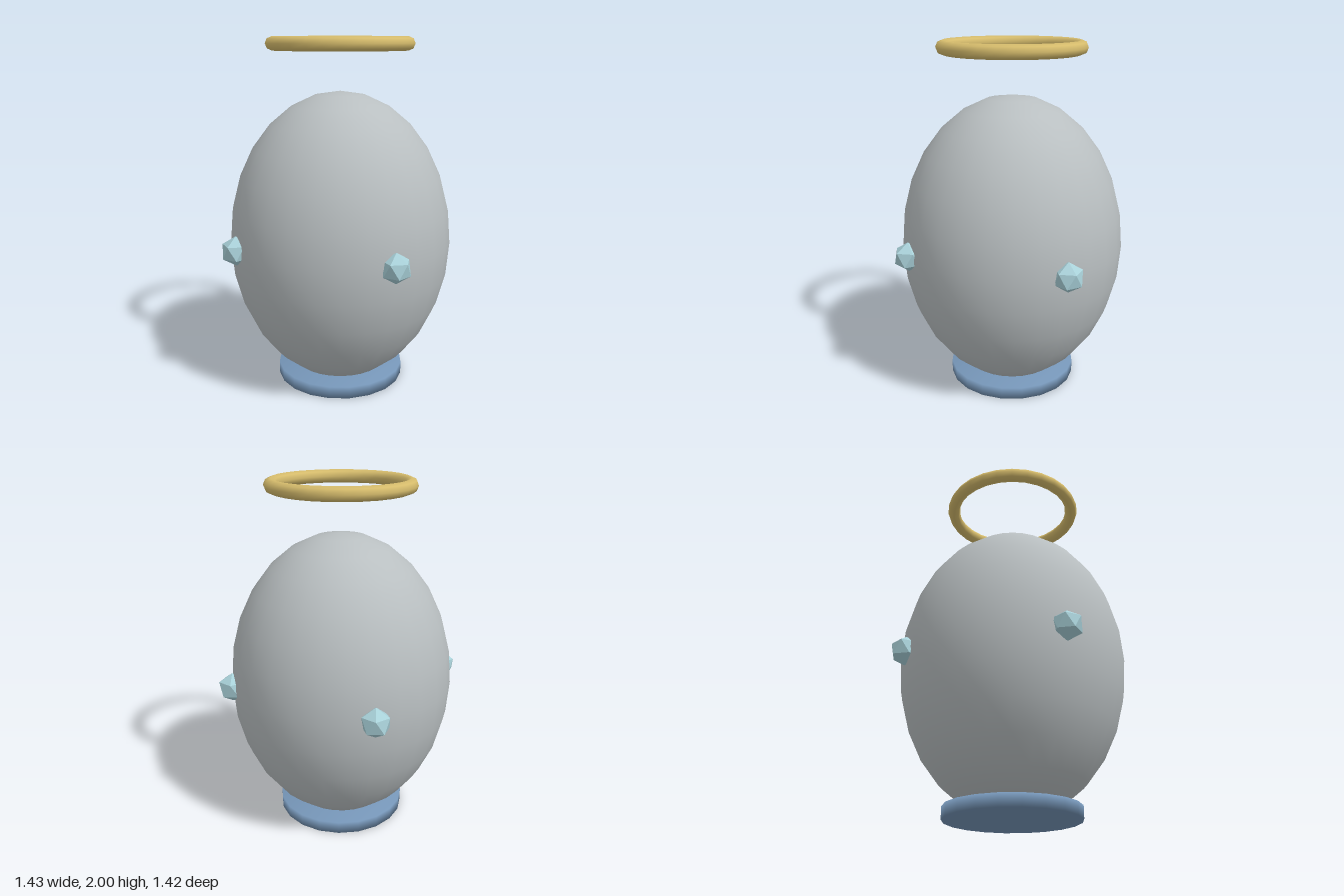
import * as THREE from 'three';
import { mergeVertices } from 'three/addons/utils/BufferGeometryUtils.js';

const paint = (name, color, flatShading = false) => {
  const material = new THREE.MeshStandardMaterial({ color, flatShading });
  material.name = name;
  return material;
};

// Weld all corners so shading runs smoothly over every edge
function softened(geometry) {
  geometry.deleteAttribute('normal');
  geometry.deleteAttribute('uv');
  const welded = mergeVertices(geometry);
  welded.computeVertexNormals();
  return welded;
}

export function createModel() {
  const model = new THREE.Group();
  const add = (name, geometry, material, x, y, z) => {
    const mesh = new THREE.Mesh(geometry, material);
    mesh.name = name;
    mesh.position.set(x, y, z);
    model.add(mesh);
    return mesh;
  };

  const grey = paint('shell grey', 0xb9bfc1);
  const blue = paint('base blue', 0x7696b8);
  const gold = paint('ring gold', 0xd6bc6c);
  const ice = paint('crystal pale blue', 0xa8d0d8, true);

  // Egg-shaped body
  const radius = 0.64, middle = 0.855;
  const egg = new THREE.SphereGeometry(radius, 28, 14).scale(1, 0.85 / radius, 1);
  add('body', egg, grey, 0, middle, 0);

  // Disc the body stands in
  add('base', softened(new THREE.CylinderGeometry(0.375, 0.375, 0.07, 20)), blue, 0, 0.035, 0);

  // Floating ring above
  add('ring', new THREE.TorusGeometry(0.377, 0.038, 8, 28).rotateX(Math.PI / 2), gold, 0, 1.962, 0);

  // Four crystals around the waist, each with a corner pointing straight up
  const tilt = Math.atan(2 / (1 + Math.sqrt(5)));
  const crystal = new THREE.IcosahedronGeometry(0.085).rotateZ(-tilt);
  const spots = { leftCrystal: [1, 0], rightCrystal: [-1, 0], frontCrystal: [0, 1], backCrystal: [0, -1] };
  for (const [name, [x, z]] of Object.entries(spots)) {
    add(name, crystal, ice, x * radius, middle, z * radius);
  }

  return model;
}
